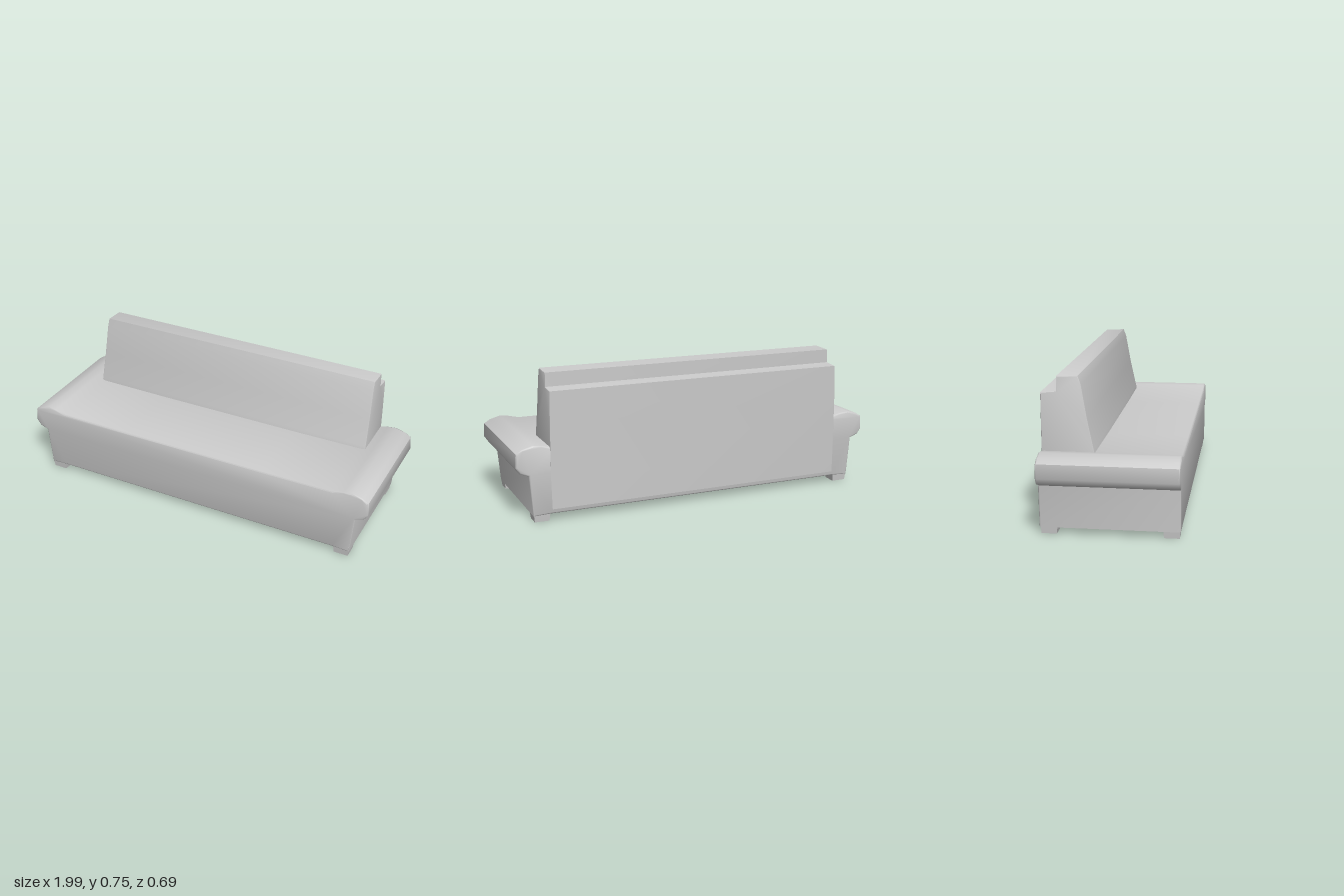
import * as THREE from 'three';
import { toCreasedNormals } from 'three/addons/utils/BufferGeometryUtils.js';

const material = new THREE.MeshStandardMaterial({ color: 0xcccccc });

// Extrudes an outline to a given overall depth, centred, with softened rims
function softExtrude(points, depth, bevel) {
  const shape = new THREE.Shape(points.map(([x, y]) => new THREE.Vector2(x, y)));
  return new THREE.ExtrudeGeometry(shape, {
    depth: depth - 2 * bevel, bevelEnabled: true, bevelThickness: bevel,
    bevelSize: bevel, bevelOffset: -bevel, bevelSegments: 2,
  }).translate(0, 0, bevel - depth / 2);
}

function addPart(group, name, geometry, crease) {
  const mesh = new THREE.Mesh(toCreasedNormals(geometry, crease), material);
  mesh.name = name;
  group.add(mesh);
  return mesh;
}

export function createModel() {
  const sofa = new THREE.Group();
  sofa.name = 'sofa';

  // Seat and rolled arms: one mirrored front outline run from back to front
  const half = [
    [0.82, 0.037], [0.912, 0.033], [0.93, 0.245], [0.975, 0.262], [0.997, 0.295],
    [0.992, 0.365], [0.96, 0.385], [0.905, 0.4], [0.86, 0.395], [0.8, 0.381], [0.4, 0.378],
  ];
  const outline = [...half, ...half.slice().reverse().map(([x, y]) => [-x, y])];
  const body = softExtrude(outline, 0.682, 0.008).translate(0, 0, 0.004);
  addPart(sofa, 'seatAndArms', body, 0.9);

  // Backrest: stepped side outline run across the width, narrowing upward
  const side = [
    [-0.337, 0.06], [-0.2, 0.06], [-0.07, 0.34], [-0.085, 0.4], [-0.118, 0.55],
    [-0.147, 0.71], [-0.162, 0.752], [-0.268, 0.747], [-0.268, 0.675],
    [-0.345, 0.668], [-0.342, 0.5],
  ];
  const back = softExtrude(side, 1.64, 0.006).rotateY(-Math.PI / 2);
  const p = back.attributes.position;
  for (let i = 0; i < p.count; i++) {
    const rise = Math.max(0, p.getY(i) - 0.38) / 0.37;
    p.setX(i, p.getX(i) * (1 - 0.015 * rise) + 0.007 * rise);
  }
  addPart(sofa, 'backrest', back, 0.7);

  // Short feet tapering to the floor under each corner
  for (const sx of [-1, 1]) {
    for (const sz of [-1, 1]) {
      const foot = new THREE.BoxGeometry(0.09, 0.06, 0.088, 1, 1, 1);
      const f = foot.attributes.position;
      for (let i = 0; i < f.count; i++) {
        if (f.getY(i) < 0) {
          f.setX(i, f.getX(i) * 0.84);
          f.setZ(i, f.getZ(i) * 0.84);
        }
      }
      const mesh = addPart(sofa, sz > 0 ? 'frontFoot' : 'backFoot', foot, 0.6);
      mesh.position.set(sx * 0.868, 0.03, sz > 0 ? 0.3 : -0.29);
    }
  }
  return sofa;
}
